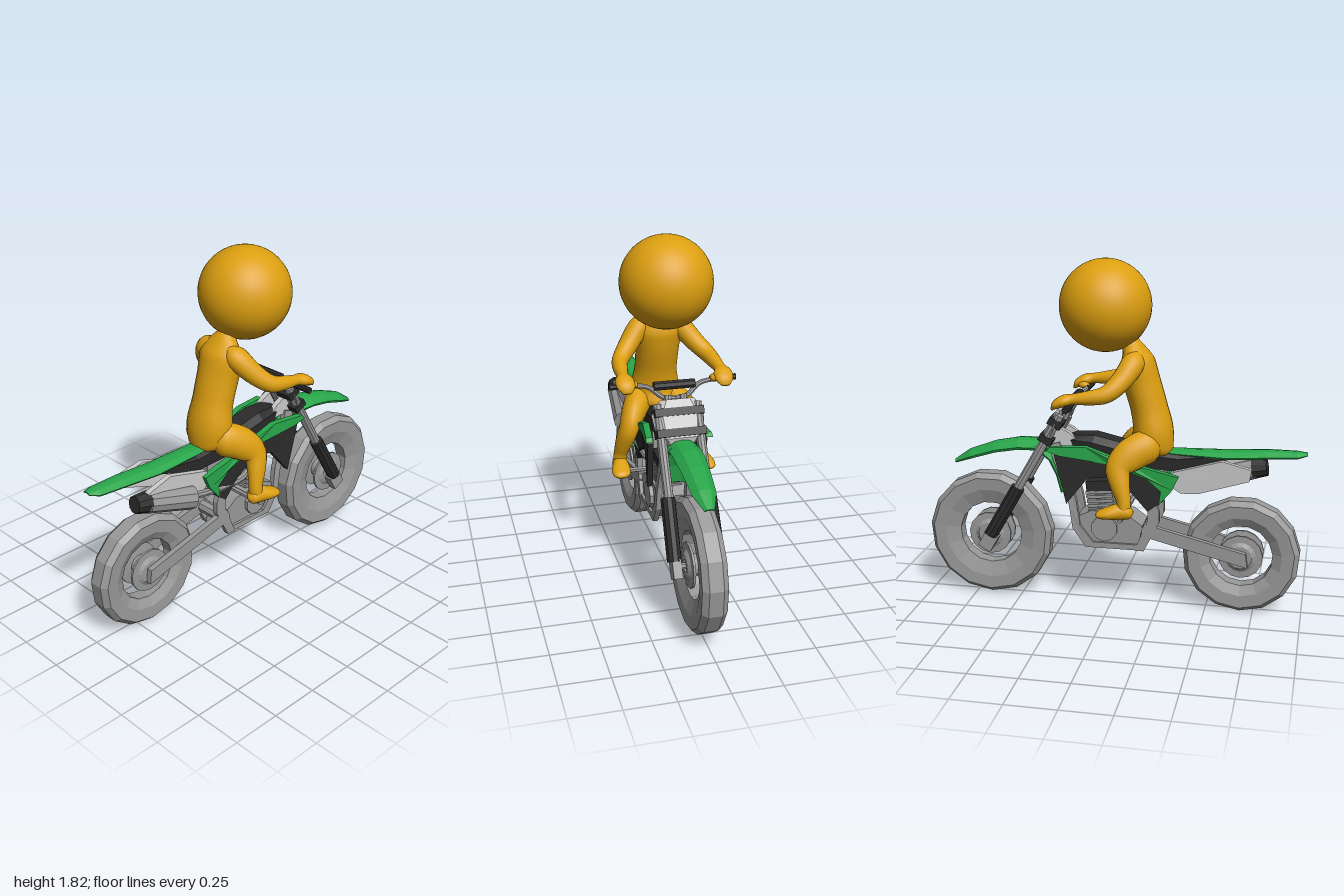
import * as THREE from 'three';

const GREY = 0xcccccc, METAL = 0x999999, BLACK = 0x2b2b2b, GREEN = 0x28a64a, ORANGE = 0xdc9f10;
const V = (p) => new THREE.Vector3(...p);

export function createModel() {
  const root = new THREE.Group();
  const add = (name, geo, color, smooth = false) => {
    const mesh = new THREE.Mesh(geo, new THREE.MeshStandardMaterial({ color, flatShading: !smooth }));
    mesh.name = name;
    root.add(mesh);
    return mesh;
  };

  // Round bar between two points
  const rod = (name, a, b, r, color, sides = 8, r2 = r) => {
    const d = V(b).sub(V(a));
    const m = add(name, new THREE.CylinderGeometry(r2, r, d.length(), sides), color);
    m.position.copy(V(a).add(V(b)).multiplyScalar(0.5));
    m.quaternion.setFromUnitVectors(new THREE.Vector3(0, 1, 0), d.normalize());
    return m;
  };

  // Mirrored pair of side panels; off(x, y) gives the distance from the centre plane
  const panels = (name, pts, off, depth, color) => {
    for (const s of [1, -1]) {
      const shape = new THREE.Shape(pts.map((p) => new THREE.Vector2(...p)));
      const geo = new THREE.ExtrudeGeometry(shape, { depth, bevelEnabled: false });
      const p = geo.attributes.position;
      for (let i = 0; i < p.count; i++) p.setZ(i, p.getZ(i) - depth / 2 + s * off(p.getX(i), p.getY(i)));
      geo.computeVertexNormals();
      add(name, geo, color);
    }
  };

  // Section [u, v] swept through stations [x, y, z, uScale, vScale]
  const loft = (name, stations, section, color, smooth = false, steps = 0) => {
    let rows = stations;
    if (steps) {
      const path = new THREE.CatmullRomCurve3(stations.map((s) => V(s.slice(0, 3))));
      const size = new THREE.CatmullRomCurve3(stations.map((s) => new THREE.Vector3(s[3], s[4], 0)));
      rows = Array.from({ length: steps + 1 }, (_, i) => {
        const p = path.getPoint(i / steps), q = size.getPoint(i / steps);
        return [p.x, p.y, p.z, Math.max(q.x, 0.004), Math.max(q.y, 0.004)];
      });
    }
    const pos = [], idx = [], n = section.length, last = rows.length - 1;
    rows.forEach((r, i) => {
      const t = V(rows[Math.min(i + 1, last)].slice(0, 3)).sub(V(rows[Math.max(i - 1, 0)].slice(0, 3))).normalize();
      const side = new THREE.Vector3(0, 0, 1).addScaledVector(t, -t.z).normalize();
      const up = side.clone().cross(t);
      for (const [u, v] of section)
        pos.push(...V(r.slice(0, 3)).addScaledVector(up, u * r[3]).addScaledVector(side, v * r[4]).toArray());
    });
    const c0 = pos.length / 3;
    pos.push(...rows[0].slice(0, 3), ...rows[last].slice(0, 3));
    for (let j = 0; j < n; j++) {
      const k = (j + 1) % n, e = last * n;
      for (let i = 0; i < last; i++) {
        const a = i * n + j, b = i * n + k;
        idx.push(a, b, a + n, b, b + n, a + n);
      }
      idx.push(c0, k, j, c0 + 1, e + j, e + k);
    }
    const geo = new THREE.BufferGeometry();
    geo.setAttribute('position', new THREE.Float32BufferAttribute(pos, 3));
    geo.setIndex(idx);
    geo.computeVertexNormals();
    return add(name, geo, color, smooth);
  };
  const round = Array.from({ length: 20 }, (_, i) => [Math.cos(i * Math.PI / 10), Math.sin(i * Math.PI / 10)]);
  const guard = [[0.5, 0], [0.3, 0.5], [-0.6, 1], [-1, 0.9], [-0.3, 0.4], [-0.3, -0.4], [-1, -0.9], [-0.6, -1], [0.3, -0.5]];
  const saddle = [[1, 0.6], [0.4, 1], [-1, 0.9], [-1, -0.9], [0.4, -1], [1, -0.6]];

  // Wheels: open tyre ring and a spool-shaped hub with a hole
  const ring = (name, x, y, prof) => {
    const pts = [...prof, prof[0]].map((p) => new THREE.Vector2(...p));
    const m = add(name, new THREE.LatheGeometry(pts, 15).rotateX(Math.PI / 2), METAL);
    m.position.set(x, y, 0);
  };
  for (const [x, y, r, ri] of [[-0.68, 0.307, 0.305, 0.165], [0.665, 0.345, 0.338, 0.17]]) {
    ring('tyre', x, y, [[r, -0.035], [r, 0.035], [r - 0.025, 0.064], [r - 0.09, 0.06], [ri, 0.035],
      [ri, -0.035], [r - 0.09, -0.06], [r - 0.025, -0.064]]);
    ring('hub', x, y, [[0.115, -0.05], [0.115, -0.038], [0.055, -0.03], [0.055, 0.03], [0.115, 0.038], [0.115, 0.05],
      [0.08, 0.052], [0.06, 0.065], [0.03, 0.065], [0.03, -0.065], [0.06, -0.065], [0.08, -0.052]]);
  }

  // Swingarm
  panels('swingarm', [[-0.72, 0.265], [-0.18, 0.4], [-0.18, 0.47], [-0.71, 0.34]], () => 0.085, 0.03, METAL);
  rod('swingarmPivot', [-0.2, 0.43, -0.1], [-0.2, 0.43, 0.1], 0.035, METAL);

  // Frame
  panels('rearFrame', [[-0.2, 0.7], [-0.26, 0.54], [-0.26, 0.48], [-0.18, 0.32], [-0.13, 0.32], [-0.2, 0.49], [-0.2, 0.54], [-0.13, 0.68]], () => 0.085, 0.03, METAL);
  panels('frontFrame', [[0.27, 0.88], [0.18, 0.57], [0.16, 0.44], [0.09, 0.35], [-0.18, 0.35], [-0.18, 0.32], [0.13, 0.32], [0.2, 0.42], [0.22, 0.55], [0.33, 0.86]], (x, y) => 0.08 - 0.05 * Math.max(0, y - 0.5), 0.028, METAL);
  panels('headstockPlate', [[0.14, 0.86], [0.33, 0.86], [0.28, 0.96], [0.22, 0.93]], () => 0.05, 0.03, GREY);

  // Engine
  panels('engineCase', [[-0.15, 0.35], [0.1, 0.33], [0.15, 0.38], [0.18, 0.48], [0.1, 0.52], [-0.1, 0.5], [-0.17, 0.45]], () => 0.04, 0.08, METAL);
  rod('engineCover', [0.03, 0.43, -0.1], [0.03, 0.43, 0.1], 0.07, METAL, 10);
  for (let i = 0; i < 5; i++) {
    const fin = add('engineFin', new THREE.BoxGeometry(0.14, 0.016, 0.13), METAL);
    fin.position.set(0.05 + i * 0.004, 0.52 + i * 0.024, 0);
    fin.rotation.z = -0.1;
  }
  rod('engineBarrel', [0.045, 0.48, 0], [0.065, 0.63, 0], 0.055, METAL);
  const head = add('engineHead', new THREE.BoxGeometry(0.13, 0.055, 0.13), BLACK);
  head.position.set(0.068, 0.65, 0);
  head.rotation.z = -0.1;
  const airbox = add('airbox', new THREE.BoxGeometry(0.24, 0.16, 0.11), METAL);
  airbox.position.set(-0.16, 0.72, 0);
  rod('footPegs', [-0.08, 0.53, -0.24], [-0.08, 0.53, 0.24], 0.014, METAL, 6);

  // Exhaust on the left-hand side of the picture plane (+z)
  rod('muffler', [-0.45, 0.665, 0.115], [-0.73, 0.745, 0.1], 0.062, METAL, 10, 0.054);
  rod('mufflerEnd', [-0.72, 0.745, 0.1], [-0.795, 0.757, 0.095], 0.056, BLACK, 10, 0.045);
  const pipe = new THREE.CatmullRomCurve3([[-0.45, 0.665, 0.11], [-0.25, 0.62, 0.09], [-0.05, 0.6, 0.07], [0.05, 0.62, 0.03]].map(V));
  add('exhaustPipe', new THREE.TubeGeometry(pipe, 10, 0.02, 8), METAL);

  // Seat, tank and bodywork
  loft('seat', [[-0.61, 0.84, 0, 0.012, 0.05], [-0.35, 0.8, 0, 0.048, 0.065], [-0.1, 0.82, 0, 0.055, 0.075],
    [0.1, 0.865, 0, 0.055, 0.08], [0.2, 0.88, 0, 0.035, 0.07], [0.26, 0.87, 0, 0.02, 0.05]], saddle, BLACK);
  loft('rearFender', [[-1, 0.868, 0, 0.008, 0.025], [-0.95, 0.868, 0, 0.02, 0.05], [-0.8, 0.866, 0, 0.025, 0.06],
    [-0.6, 0.853, 0, 0.025, 0.066], [-0.32, 0.852, 0, 0.012, 0.058], [-0.15, 0.875, 0, 0.01, 0.05]], guard, GREEN);
  panels('sidePlate', [[-0.73, 0.8], [-0.72, 0.74], [-0.46, 0.655], [-0.37, 0.65], [-0.29, 0.7], [-0.33, 0.76], [-0.58, 0.835]],
    (x) => 0.085 - 0.06 * Math.min(0, x + 0.3), 0.03, GREY);
  panels('rearInnerPanel', [[-0.28, 0.6], [-0.2, 0.54], [-0.12, 0.63], [0, 0.71], [0, 0.8], [-0.1, 0.79], [-0.22, 0.73]], () => 0.085, 0.035, BLACK);
  const flare = (x) => 0.1 + 0.14 * Math.max(0, x);
  panels('shroudPanel', [[-0.06, 0.79], [0, 0.72], [0.11, 0.71], [0.22, 0.57], [0.28, 0.83], [0.25, 0.86], [0.1, 0.85]], flare, 0.03, BLACK);
  panels('sideStripe', [[-0.36, 0.74], [-0.33, 0.67], [-0.26, 0.585], [-0.27, 0.66], [-0.2, 0.72], [0, 0.79], [0.25, 0.83], [0.32, 0.855], [0.3, 0.875], [0.12, 0.88], [-0.1, 0.8]],
    (x) => flare(x) + 0.01, 0.034, GREEN);

  // Front mudguard and the strip hanging behind the wheel
  loft('frontFender', [[0.28, 0.85, 0, 0.025, 0.06], [0.38, 0.862, 0, 0.035, 0.08], [0.5, 0.86, 0, 0.035, 0.078],
    [0.63, 0.835, 0, 0.035, 0.07], [0.77, 0.785, 0, 0.03, 0.06], [0.86, 0.732, 0, 0.012, 0.025]], guard, GREEN);
  loft('wheelGuard', [[0.255, 0.6, 0, 0.018, 0.05], [0.27, 0.7, 0, 0.025, 0.065], [0.31, 0.79, 0, 0.025, 0.075], [0.4, 0.86, 0, 0.02, 0.075]], guard, GREEN);
  loft('frontPlate', [[0.365, 0.83, 0, 0.03, 0.07], [0.375, 0.89, 0, 0.05, 0.12], [0.315, 1, 0, 0.04, 0.135], [0.28, 1.06, 0, 0.02, 0.09]],
    [[1, 0.6], [1, 1], [0, 0.65], [0, -0.65], [1, -1], [1, -0.6]], GREY);

  // Fork, clamps and handlebar
  const fork = (y, z) => [0.66 - (y - 0.33) * 0.571, y, z];
  for (const s of [1, -1]) {
    rod('forkUpper', fork(0.6, s * 0.1), fork(1.03, s * 0.1), 0.025, METAL, 10);
    rod('forkLower', fork(0.36, s * 0.11), fork(0.63, s * 0.105), 0.037, BLACK, 10);
    const foot = add('forkFoot', new THREE.BoxGeometry(0.075, 0.095, 0.045), METAL);
    foot.position.set(0.655, 0.325, s * 0.105);
    foot.rotation.z = 0.52;
    const bar = new THREE.CatmullRomCurve3([[0.225, 1.045, 0], [0.22, 1.05, s * 0.06], [0.195, 1.1, s * 0.13], [0.18, 1.112, s * 0.22]].map(V));
    add('handlebar', new THREE.TubeGeometry(bar, 12, 0.013, 8), METAL);
    rod('grip', [0.18, 1.112, s * 0.19], [0.178, 1.112, s * 0.325], 0.017, BLACK);
    rod('barRiser', [0.25, 1, s * 0.04], [0.222, 1.06, s * 0.04], 0.02, METAL);
  }
  rod('barPad', [0.2, 1.105, -0.105], [0.2, 1.105, 0.105], 0.024, BLACK);
  rod('axle', [0.665, 0.345, -0.12], [0.665, 0.345, 0.12], 0.018, METAL);
  rod('steeringStem', [0.33, 0.86, 0], [0.245, 1.01, 0], 0.03, METAL);
  for (const y of [0.9, 0.99]) {
    const clamp = add('forkClamp', new THREE.BoxGeometry(0.075, 0.04, 0.25), BLACK);
    clamp.position.set(...fork(y, 0));
    clamp.rotation.z = 0.52;
  }

  // Rider
  const skull = add('riderHead', new THREE.SphereGeometry(0.236, 40, 28), ORANGE, true);
  skull.position.set(0.04, 1.59, 0);
  loft('riderTorso', [[-0.19, 0.83, 0, 0.06, 0.06], [-0.2, 0.87, 0, 0.115, 0.12], [-0.21, 0.95, 0, 0.105, 0.13],
    [-0.185, 1.08, 0, 0.095, 0.112], [-0.15, 1.2, 0, 0.095, 0.115], [-0.125, 1.3, 0, 0.09, 0.125],
    [-0.105, 1.365, 0, 0.06, 0.09], [-0.08, 1.41, 0, 0.048, 0.05], [-0.03, 1.47, 0, 0.05, 0.05]], round, ORANGE, true, 32);
  for (const s of [1, -1]) {
    loft('riderArm', [[-0.135, 1.36, s * 0.05, 0.02, 0.02], [-0.12, 1.315, s * 0.105, 0.06, 0.055], [-0.07, 1.235, s * 0.175, 0.052, 0.05],
      [-0.005, 1.18, s * 0.23, 0.044, 0.042], [0.08, 1.163, s * 0.245, 0.036, 0.036], [0.155, 1.155, s * 0.25, 0.027, 0.03],
      [0.2, 1.145, s * 0.252, 0.03, 0.048], [0.24, 1.125, s * 0.25, 0.024, 0.045], [0.262, 1.1, s * 0.25, 0.008, 0.02]], round, ORANGE, true, 30);
    const thumb = add('riderThumb', new THREE.SphereGeometry(0.02, 12, 8), ORANGE, true);
    thumb.scale.set(1.6, 0.9, 1);
    thumb.position.set(0.2, 1.125, s * 0.205);
    loft('riderLeg', [[-0.25, 0.9, s * 0.05, 0.05, 0.04], [-0.19, 0.885, s * 0.09, 0.09, 0.075], [-0.11, 0.845, s * 0.14, 0.085, 0.065],
      [-0.06, 0.785, s * 0.175, 0.066, 0.052], [-0.075, 0.7, s * 0.2, 0.05, 0.045], [-0.095, 0.63, s * 0.215, 0.037, 0.036],
      [-0.098, 0.57, s * 0.22, 0.034, 0.036]], round, ORANGE, true, 28);
    loft('riderFoot', [[-0.145, 0.575, s * 0.215, 0.008, 0.01], [-0.125, 0.572, s * 0.217, 0.035, 0.036], [-0.07, 0.572, s * 0.222, 0.042, 0.042],
      [-0.01, 0.562, s * 0.23, 0.03, 0.05], [0.03, 0.556, s * 0.235, 0.02, 0.04], [0.045, 0.554, s * 0.235, 0.006, 0.015]], round, ORANGE, true, 20);
  }
  return root;
}
